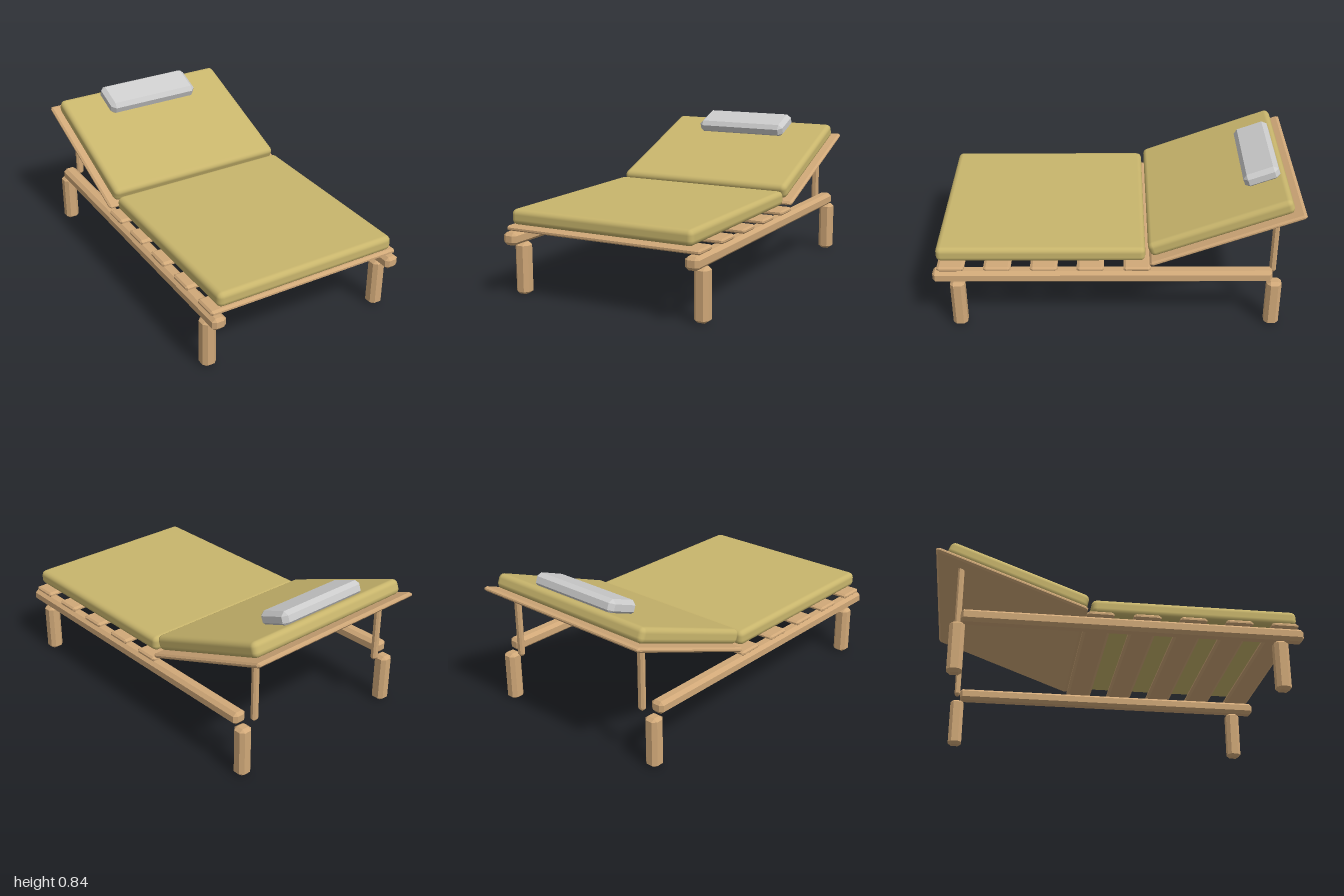
import * as THREE from 'three';
import { ConvexGeometry } from 'three/addons/geometries/ConvexGeometry.js';
import { RoundedBoxGeometry } from 'three/addons/geometries/RoundedBoxGeometry.js';

const wood = new THREE.MeshStandardMaterial({ color: 0xd0a878, flatShading: true });
const fabric = new THREE.MeshStandardMaterial({ color: 0xc8b56c });
const grey = new THREE.MeshStandardMaterial({ color: 0xcccccc });
const TILT = 0.36;

// Box with every edge cut off; cx, cy, cz are the cuts along each axis
function chamferBox(w, h, d, cx, cy, cz) {
  const points = [];
  for (const sx of [-1, 1]) for (const sy of [-1, 1]) for (const sz of [-1, 1]) {
    const x = w / 2, y = h / 2, z = d / 2;
    points.push(
      new THREE.Vector3(sx * x, sy * (y - cy), sz * (z - cz)),
      new THREE.Vector3(sx * (x - cx), sy * y, sz * (z - cz)),
      new THREE.Vector3(sx * (x - cx), sy * (y - cy), sz * z)
    );
  }
  return new ConvexGeometry(points);
}

export function createModel() {
  const lounger = new THREE.Group();
  lounger.name = 'sunLounger';

  function add(name, geometry, material, x, y, z, tilt = 0) {
    const mesh = new THREE.Mesh(geometry, material);
    mesh.name = name;
    mesh.position.set(x, y, z);
    mesh.rotation.x = tilt;
    lounger.add(mesh);
  }

  // Legs, side rails and backrest props, mirrored
  const leg = chamferBox(0.08, 0.285, 0.08, 0.02, 0.015, 0.02);
  const rail = chamferBox(0.08, 0.07, 1.845, 0.02, 0.017, 0.015);
  const prop = chamferBox(0.04, 0.37, 0.034, 0.01, 0.012, 0.009);
  for (const [side, s] of [['left', 1], ['right', -1]]) {
    add(side + 'FrontLeg', leg, wood, s * 0.54, 0.1425, 0.87);
    add(side + 'BackLeg', leg, wood, s * 0.54, 0.1425, -0.86);
    add(side + 'Rail', rail, wood, s * 0.54, 0.325, 0.0775);
    add(side + 'BackrestProp', prop, wood, s * 0.46, 0.475, -0.86);
  }

  // Slats across the rails
  const slat = chamferBox(1.15, 0.028, 0.148, 0.01, 0.009, 0.015);
  for (let i = 0; i < 5; i++) add('slat' + (i + 1), slat, wood, 0, 0.377, 0.9 - i * 0.2525);

  // Tilted backrest board
  add('backrestBoard', chamferBox(1.145, 0.026, 0.875, 0.01, 0.009, 0.015), wood, 0, 0.557, -0.588, TILT);

  // Cushions and head pillow
  add('seatCushion', new RoundedBoxGeometry(1.075, 0.085, 1.135, 2, 0.03), fabric, 0, 0.4425, 0.4125);
  add('backCushion', new RoundedBoxGeometry(1.075, 0.085, 0.81, 2, 0.03), fabric, 0, 0.608, -0.553, TILT);
  add('headPillow', chamferBox(0.575, 0.08, 0.2, 0.025, 0.022, 0.025), grey, 0, 0.775, -0.79, TILT);

  return lounger;
}
